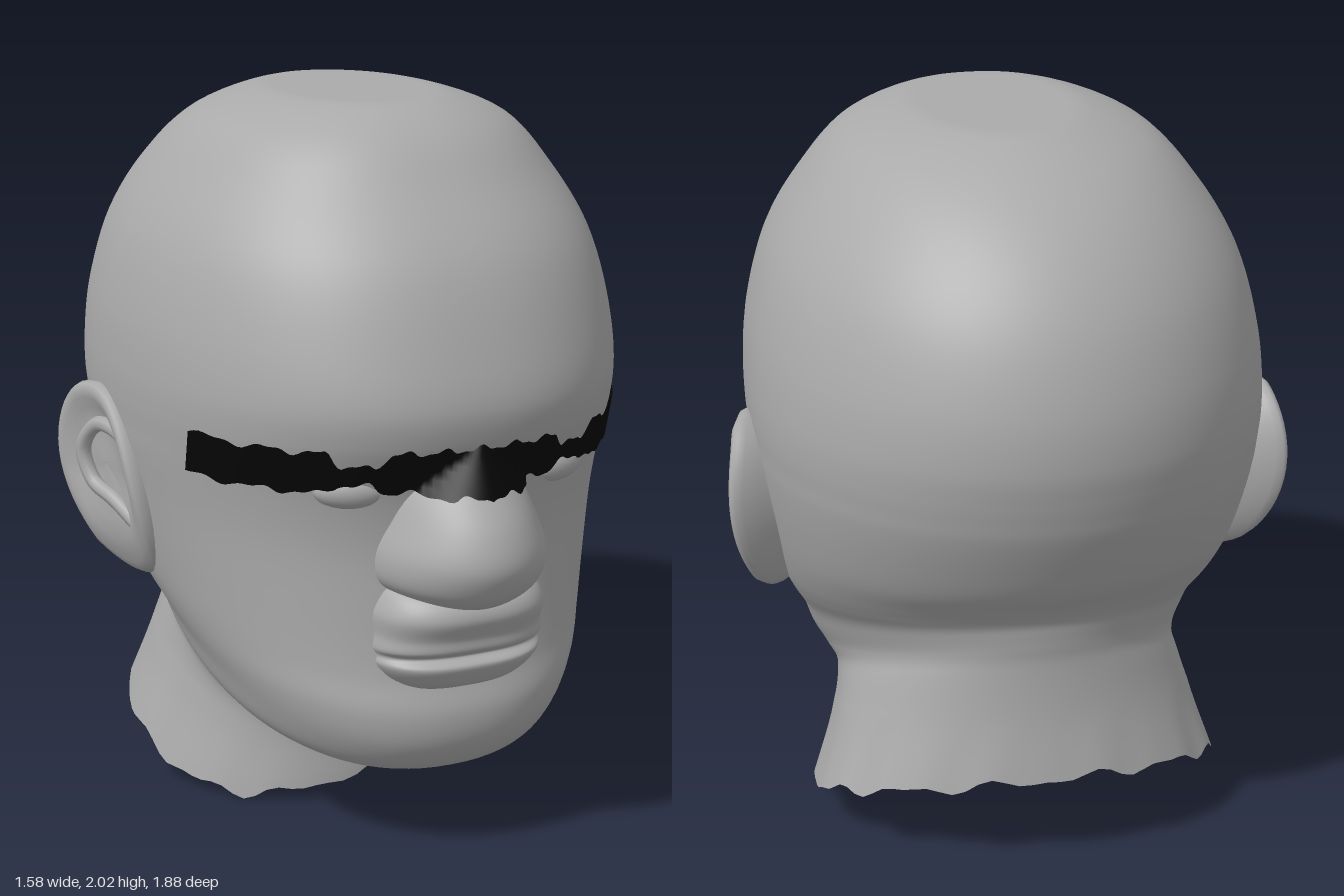
import * as THREE from 'three';

// Skin a list of point rows (top to bottom, or base to centre), optionally closed around
function loft(rows, closed) {
  const n = rows[0].length, pos = [], idx = [];
  rows.forEach(r => r.forEach(p => pos.push(...p)));
  for (let i = 0; i < rows.length - 1; i++) {
    for (let j = 0; j < (closed ? n : n - 1); j++) {
      const k = (j + 1) % n, a = i * n + j, b = i * n + k, c = a + n, d = b + n;
      idx.push(a, c, b, b, c, d);
    }
  }
  const g = new THREE.BufferGeometry();
  g.setAttribute('position', new THREE.Float32BufferAttribute(pos, 3));
  g.setIndex(idx);
  g.computeVertexNormals();
  return g;
}

const { lerp, clamp } = THREE.MathUtils;
const spow = (v, p) => Math.sign(v) * Math.pow(Math.abs(v), p);
const FRONT = 2.25; // squareness of the face in plan

// Skull, jaw and neck: tilted rings [frontZ, frontY, backZ, backY, halfWidth, widestZ]
const HEAD = [
  [.02, 2, -.06, 2, .03, -.02], [.3, 2, -.36, 2, .23, -.03],
  [.45, 1.93, -.55, 1.93, .42, -.05], [.57, 1.8, -.73, 1.8, .54, -.08],
  [.7, 1.63, -.86, 1.63, .64, -.1], [.78, 1.43, -.93, 1.43, .695, -.12],
  [.815, 1.28, -.94, 1.28, .71, -.14], [.8, 1.19, -.925, 1.19, .71, -.15],
  [.77, 1.12, -.91, 1.13, .705, -.15], [.74, 1.05, -.895, 1.08, .7, -.15],
  [.715, .9, -.85, .98, .68, -.15], [.72, .7, -.79, .87, .65, -.13],
  [.735, .53, -.73, .8, .62, -.1], [.76, .42, -.7, .76, .59, -.08],
  [.74, .32, -.685, .73, .555, -.06], [.66, .235, -.68, .7, .53, -.06],
  [.5, .21, -.675, .66, .5, -.1], [.28, .215, -.67, .6, .485, -.2],
  [.25, .16, -.68, .45, .51, -.28], [.24, .08, -.71, .27, .58, -.32],
];

function headGeometry() {
  const curve = o => new THREE.CatmullRomCurve3(HEAD.map(k => new THREE.Vector3(k[o[0]], k[o[1]], k[o[2]])));
  const front = curve([0, 1, 4]), back = curve([2, 3, 5]);
  const rows = [], N = 114, M = 96;
  for (let i = 0; i <= N; i++) {
    const f = front.getPoint(i / N), b = back.getPoint(i / N), zc = b.z;
    const edge = clamp((i / N) * (HEAD.length - 1) - (HEAD.length - 2), 0, 1); // ragged neck hem
    const row = [];
    for (let j = 0; j < M; j++) {
      const t = j / M * Math.PI * 2, c = Math.cos(t), s = Math.sin(t);
      const p = c > 0 ? 2 / FRONT : 1;
      const x = f.z * spow(s, p);
      const z = zc + (c > 0 ? f.x - zc : zc - b.x) * spow(c, p);
      const u = clamp((f.x - z) / (f.x - b.x), 0, 1);
      const sag = -.12 * Math.sin(Math.PI * Math.sqrt(u)) + .012 * Math.cos(t * 13) + .008 * Math.cos(t * 22);
      row.push([x, Math.min(2, lerp(f.y, b.y, u) + sag * edge), z]);
    }
    rows.push(row);
  }
  // close the crown
  rows.unshift(rows[0].map(() => [0, 2, -.02]));
  return loft(rows, true);
}

// Facial bump standing out of the face: keys are [y, frontZ, halfWidth]
function bump(keys, power) {
  const curve = new THREE.CatmullRomCurve3(keys.map(k => new THREE.Vector3(...k)));
  const rows = [], N = keys.length * 6, M = 36, back = .6;
  for (let i = 0; i <= N; i++) {
    const k = curve.getPoint(i / N), row = [];
    for (let j = 0; j <= M; j++) {
      const t = (j / M - .5) * Math.PI;
      row.push([k.z * spow(Math.sin(t), power), k.x, back + (k.y - back) * Math.pow(Math.max(0, Math.cos(t)), power)]);
    }
    rows.push(row);
  }
  return loft(rows, false);
}

// Ear: concentric outlines from the skull to the rim and into the bowl
const earX = (z, y) => .7 + .09 * clamp((.1 - z) / .3, 0, 1) - .9 * (y - 1) ** 2;
function earGeometry(side) {
  const layers = [[.72, -.15], [.9, -.08], [.98, -.035], [1, -.012], [.97, 0], [.9, .002],
    [.8, -.008], [.68, -.03], [.5, -.05], [.25, -.055], [.01, -.055]];
  const rows = layers.map(([s, dx], i) => {
    const row = [];
    for (let j = 0; j < 48; j++) {
      const a = side * j / 48 * Math.PI * 2;
      const z = lerp(-.12, -.11 + .2 * Math.cos(a) - .04 * Math.sin(a), s);
      const y = lerp(.97, .925 + .275 * Math.sin(a), s);
      const bowl = i > 5 ? clamp((y - .74) / .18, .1, 1) : 1; // the lobe stays full
      row.push([side * (earX(z, y) + dx * bowl), y, z]);
    }
    return row;
  });
  return loft(rows, true);
}

// Inner fold of the ear
function earFoldGeometry(side) {
  const pts = [[.03, 1.04], [-.04, 1.08], [-.13, 1.08], [-.19, 1], [-.16, .91], [-.07, .87], [0, .82]];
  const path = new THREE.CatmullRomCurve3(pts.map(([z, y]) => new THREE.Vector3(side * (earX(z, y) - .035), y, z)));
  return new THREE.TubeGeometry(path, 40, .022, 8);
}

// Ragged strip lying on the brow and the bridge of the nose
function bandGeometry() {
  const rows = [], N = 160, R = 6;
  for (let i = 0; i <= R; i++) {
    const row = [];
    for (let j = 0; j <= N; j++) {
      const x = lerp(-.635, .635, j / N), ax = Math.abs(x);
      const gap = clamp(1 - Math.abs(ax - .31) / .075, 0, .5) * 2;
      const top = 1.178 - .038 * gap + .008 * Math.cos(ax * 62) + .004 * Math.cos(ax * 131);
      const low = 1.06 + .025 * gap - .007 * Math.cos(ax * 55) + .004 * Math.sin(ax * 117);
      const y = lerp(top, low, i / R), v = (y - 1.05) / .14;
      const fz = lerp(.74, .8, v);
      const face = -.15 + (fz + .165) * Math.pow(1 - Math.pow(ax / .714, FRONT), 1 / FRONT);
      const wn = lerp(.2, .08, v), zn = lerp(.87, .8, v);
      const nose = ax < wn ? .6 + (zn - .59) * Math.sqrt(1 - (ax / wn) ** 2) : 0;
      row.push([x, y, Math.max(face, nose)]);
    }
    rows.push(row);
  }
  return loft(rows, false);
}

export function createModel() {
  const group = new THREE.Group();
  const skin = new THREE.MeshStandardMaterial({ color: 0xaaaaaa, side: THREE.DoubleSide });
  skin.name = 'greySkin';
  const black = new THREE.MeshStandardMaterial({ color: 0x050505, side: THREE.DoubleSide });
  black.name = 'blackBand';
  const add = (name, geometry, material = skin) => {
    const m = new THREE.Mesh(geometry, material);
    m.name = name;
    group.add(m);
    return m;
  };

  add('headAndNeck', headGeometry());
  add('nose', bump([[1.14, .79, .09], [1.07, .85, .17], [.97, .92, .215], [.88, .943, .245],
    [.81, .915, .24], [.765, .87, .19], [.74, .81, .11], [.733, .68, .04]], 1));
  add('mouth', bump([[.81, .7, .2], [.77, .82, .23], [.72, .845, .25], [.66, .82, .25], [.625, .815, .255],
    [.603, .785, .25], [.58, .81, .25], [.54, .79, .225], [.505, .755, .18], [.485, .69, .12]], .75));

  for (const side of [1, -1]) {
    const label = side > 0 ? 'left' : 'right';
    const eye = add(label + 'Eye', new THREE.SphereGeometry(1, 24, 16));
    eye.scale.set(.1, .05, .05);
    eye.position.set(side * .3, 1.058, .648);
    eye.rotation.y = side * .35;
    add(label + 'Ear', earGeometry(side));
    add(label + 'EarFold', earFoldGeometry(side));
  }

  add('browBand', bandGeometry(), black);
  return group;
}
